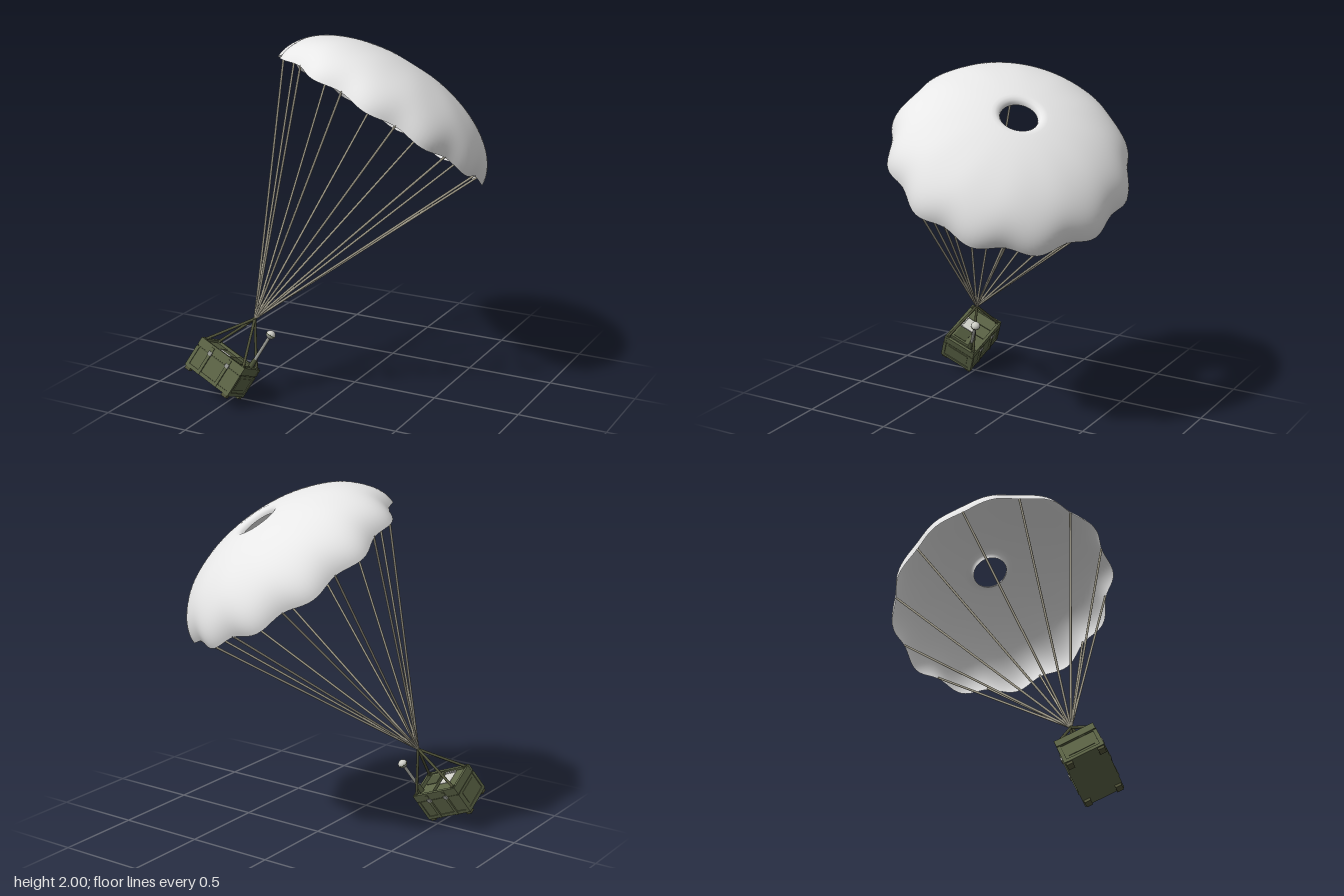
import * as THREE from 'three';
import { mergeVertices } from 'three/addons/utils/BufferGeometryUtils.js';

const mat = (name, color, side = THREE.FrontSide) => {
  const m = new THREE.MeshStandardMaterial({ color, side });
  m.name = name;
  return m;
};

export function createModel() {
  const cloth = mat('canopy cloth', 0xe8e8e8, THREE.DoubleSide);
  const cord = mat('cord', 0xa19c8b);
  const strapMat = mat('strap webbing', 0x505339);
  const green = mat('crate green', 0x5c6446);
  const darkGreen = mat('dark green', 0x4b5238);
  const metal = mat('grey metal', 0x92948e);
  const pale = mat('pale grey', 0xcfcfc8);

  // Everything hangs along one tilted axis through the knot
  const rig = new THREE.Group();
  rig.name = 'parachuteRig';
  rig.position.set(-0.402, 0.463, 0.426);
  rig.quaternion.setFromUnitVectors(
    new THREE.Vector3(0, 1, 0), new THREE.Vector3(0.393, 0.828, -0.399).normalize());

  const add = (parent, name, geo, material, x = 0, y = 0, z = 0) => {
    const m = new THREE.Mesh(geo, material);
    m.name = name;
    m.position.set(x, y, z);
    parent.add(m);
    return m;
  };
  const box = (parent, name, material, w, h, d, x, y, z) =>
    add(parent, name, new THREE.BoxGeometry(w, h, d), material, x, y, z);
  const rod = (parent, name, material, a, b, r) => {
    const dir = b.clone().sub(a);
    const m = add(parent, name, new THREE.CylinderGeometry(r, r, dir.length(), 8), material);
    m.position.copy(a).add(b).multiplyScalar(0.5);
    m.quaternion.setFromUnitVectors(new THREE.Vector3(0, 1, 0), dir.normalize());
  };

  // Canopy: elliptical dome with a rolled vent; gores bulge and droop near the hem
  const R = 0.65, base = 1.3, rise = 0.352, gores = 12;
  const profile = [];
  const start = Math.acos(0.15 / R);
  for (let i = 0; i <= 24; i++) {
    const a = start * i / 24;
    profile.push(new THREE.Vector2(R * Math.cos(a), base + rise * Math.sin(a)));
  }
  profile.push(new THREE.Vector2(0.13, 1.643), new THREE.Vector2(0.113, 1.636),
    new THREE.Vector2(0.103, 1.624), new THREE.Vector2(0.1, 1.61));
  let dome = new THREE.LatheGeometry(profile, 144);
  const p = dome.attributes.position;
  for (let i = 0; i < p.count; i++) {
    const x = p.getX(i), z = p.getZ(i);
    const wave = Math.pow(Math.hypot(x, z) / R, 5) * Math.cos(gores * Math.atan2(x, z));
    p.setXYZ(i, x * (1 - 0.022 * wave), p.getY(i) + 0.011 * wave, z * (1 - 0.022 * wave));
  }
  dome.deleteAttribute('uv');
  dome.deleteAttribute('normal');
  dome = mergeVertices(dome, 1e-5);
  dome.computeVertexNormals();
  add(rig, 'canopy', dome, cloth);

  // Suspension lines from the gore seams to the knot
  const knot = new THREE.Vector3();
  for (let i = 0; i < gores; i++) {
    const a = i * Math.PI * 2 / gores;
    rod(rig, 'suspensionLine', cord, knot,
      new THREE.Vector3(0.632 * Math.sin(a), base + 0.018, 0.632 * Math.cos(a)), 0.0065);
  }
  add(rig, 'knot', new THREE.SphereGeometry(0.011, 12, 8), strapMat);

  // Crate: tray-topped body
  const crate = new THREE.Group();
  crate.name = 'crate';
  crate.position.set(-0.01, -0.417, -0.006);
  rig.add(crate);
  const W = 0.305, D = 0.205, H = 0.18;
  box(crate, 'crateBody', green, W, 0.152, D, 0, 0.076, 0);
  for (const s of [-1, 1]) {
    box(crate, 'longRim', green, W + 0.01, 0.045, 0.016, 0, H - 0.0225, s * (D / 2 - 0.004));
    box(crate, 'shortRim', green, 0.016, 0.045, D + 0.008, s * (W / 2 - 0.004), H - 0.0225, 0);
    // Seam under the rim
    box(crate, 'longSeam', darkGreen, W + 0.005, 0.006, 0.005, 0, 0.128, s * D / 2);
    box(crate, 'shortSeam', darkGreen, 0.005, 0.006, D + 0.005, s * W / 2, 0.128, 0);
    // Base skirt
    box(crate, 'longSkirt', green, W + 0.01, 0.02, 0.01, 0, 0.01, s * D / 2);
    box(crate, 'shortSkirt', green, 0.01, 0.02, D + 0.01, s * W / 2, 0.01, 0);
    box(crate, 'endPanel', green, 0.006, 0.075, 0.14, s * W / 2, 0.075, 0);
    for (const t of [-1, 1]) {
      box(crate, 'cornerGuard', green, 0.02, 0.125, 0.02, s * (W / 2 - 0.005), 0.065, t * (D / 2 - 0.005));
      box(crate, 'foot', strapMat, 0.034, 0.018, 0.034, s * (W / 2 - 0.018), -0.008, t * (D / 2 - 0.018));
      // Side bands with latches
      box(crate, 'sideBand', green, 0.018, 0.168, 0.012, s * 0.062, 0.084, t * (D / 2 + 0.003));
      box(crate, 'latch', metal, 0.024, 0.022, 0.012, s * 0.062, 0.133, t * (D / 2 + 0.007));
      // Lifting strap and its anchor
      const corner = new THREE.Vector3(s * 0.138, H, t * 0.09);
      box(crate, 'strapAnchor', darkGreen, 0.022, 0.01, 0.022, corner.x, H, corner.z);
      rod(rig, 'liftingStrap', strapMat, corner.add(crate.position), knot, 0.008);
    }
  }

  // Equipment inside the tray
  box(crate, 'leftPanel', green, 0.075, 0.016, 0.178, -0.105, 0.158, 0);
  box(crate, 'instrumentPlate', pale, 0.078, 0.014, 0.095, -0.026, 0.159, 0.035);
  for (let i = 0; i < 5; i++)
    box(crate, 'plateRib', pale, 0.009, 0.008, 0.014, -0.058 + i * 0.016, 0.168, 0.078);
  box(crate, 'backPanel', green, 0.078, 0.014, 0.075, -0.026, 0.157, -0.052);
  box(crate, 'equipmentBox', green, 0.095, 0.024, 0.178, 0.07, 0.162, 0);
  box(crate, 'equipmentLid', darkGreen, 0.076, 0.004, 0.082, 0.068, 0.175, 0.03);

  // Mast with a round head, pale above and dark below
  const mast = new THREE.Group();
  mast.name = 'mast';
  mast.position.set(0.106, 0, -0.065);
  rig.add(mast);
  add(mast, 'mastBase', new THREE.CylinderGeometry(0.013, 0.016, 0.06, 14), darkGreen, 0, -0.225, 0);
  add(mast, 'mastRod', new THREE.CylinderGeometry(0.0095, 0.0095, 0.18, 12), metal, 0, -0.13, 0);
  const half = (name, material, from) => {
    const m = add(mast, name, new THREE.SphereGeometry(0.027, 20, 8, 0, Math.PI * 2, from, Math.PI / 2),
      material, 0, -0.032, 0);
    m.scale.y = 0.9;
  };
  half('headDome', pale, 0);
  half('headCup', metal, Math.PI / 2);
  add(mast, 'headBand', new THREE.CylinderGeometry(0.028, 0.028, 0.005, 20), darkGreen, 0, -0.034, 0);

  const model = new THREE.Group();
  model.name = 'parachuteCrate';
  model.add(rig);
  return model;
}
